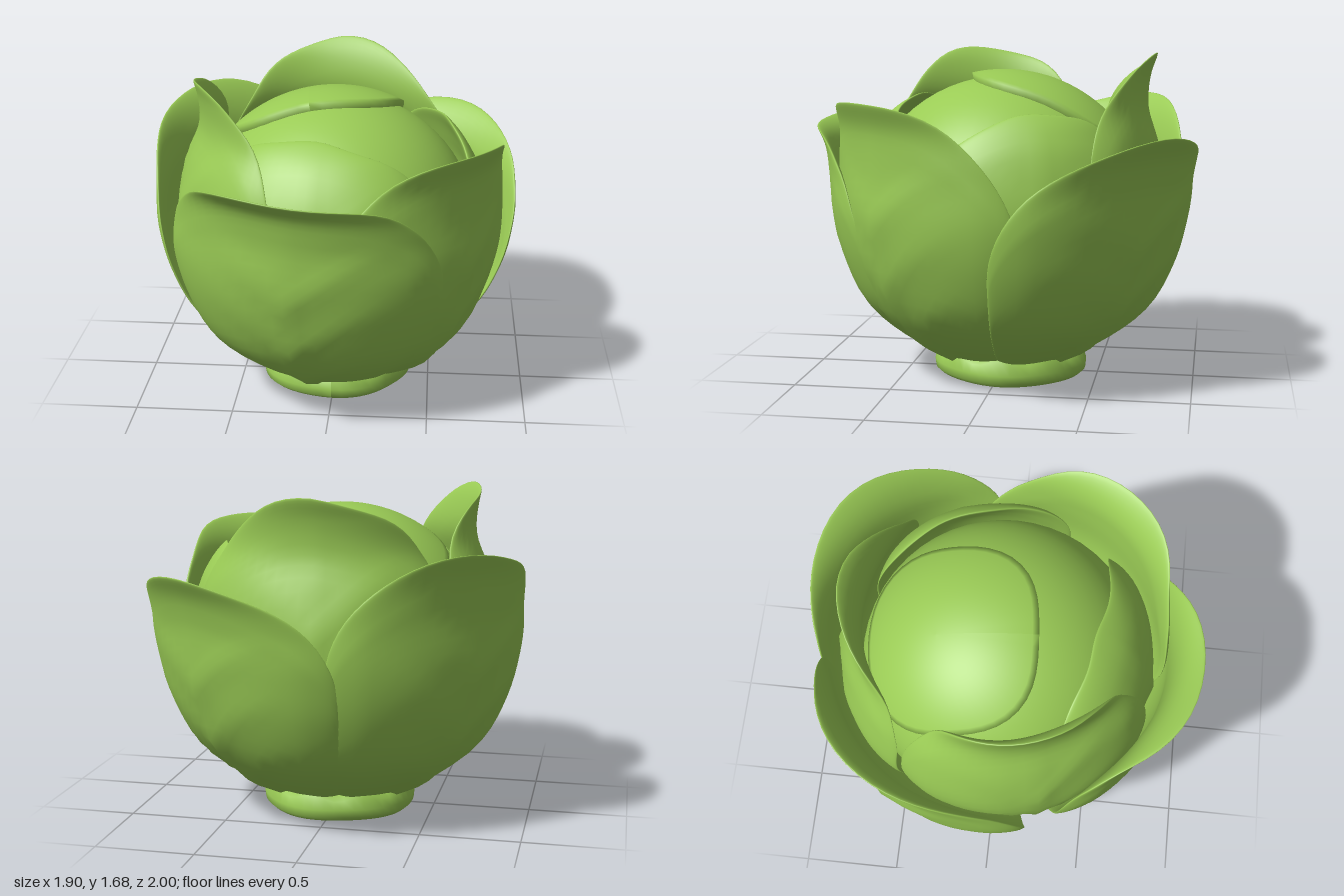
import * as THREE from 'three';
import { mergeVertices } from 'three/addons/utils/BufferGeometryUtils.js';

const rad = THREE.MathUtils.degToRad;
const ridge = (x, w) => Math.exp(-(x * x) / (w * w));

// Lower bowl shared by all leaves as [radius, height]; radius is scaled per leaf
const bowl = [[0.33, 0.12], [0.57, 0.23], [0.81, 0.41], [0.94, 0.64], [1, 0.88]];

// Closed leaf shell wrapped round the head.
// az: direction (0 = front, 90 = +x), half: half width in degrees, k: bowl radius,
// top: upper profile points, low: rim height at the sides, p: roundness,
// tilt: lean of the rim, flare: outward curl of the tip
function leafGeometry({ az, half, k, top, low = 0.55, p = 2, tilt = 0, flare = 0.01 }) {
  const profile = [...bowl.map(([r, y]) => [r * k, y]), ...top];
  const curve = new THREE.CatmullRomCurve3(profile.map(([r, y]) => new THREE.Vector3(r, y, 0)));
  const nu = 36, nv = 28, thick = 0.028, pos = [], idx = [];
  for (const side of [1, -1]) {
    const start = pos.length / 3;
    for (let j = 0; j <= nv; j++) {
      const s = Math.sin((j / nv) * Math.PI / 2);
      for (let i = 0; i <= nu; i++) {
        const u = i === 0 ? -1 : i === nu ? 1 : Math.sin((i / nu - 0.5) * Math.PI);
        const a = Math.abs(u);
        let reach = low + (1 - low) * Math.sqrt(Math.max(0, 1 - a ** p));
        reach *= 1 - Math.abs(tilt) * (1 - Math.sign(tilt) * u) / 2;
        reach *= 1 - 0.006 * (1 + Math.sin(u * 7 + az));
        const t = Math.min(1, s * reach);
        const c = curve.getPointAt(t), d = curve.getTangentAt(t);
        // Thickness fades to a rounded rim; veins rise on the outer face
        const edge = Math.sqrt(Math.min(1, 4 * (1 - a)) * Math.min(1, 8 * (1 - s)));
        let off = side * thick * edge;
        if (side > 0) {
          let vein = ridge(u, 0.06) * (1 - s);
          for (const v of [0.2, 0.42, 0.62]) {
            vein += 0.6 * ridge(s - v - a * 0.42, 0.04) * Math.max(0, 1 - a * 1.5);
          }
          off += 0.022 * vein * edge;
        }
        off += 0.006 * Math.sin(u * 5 + az) * s;
        const r = c.x + d.y * off + flare * s ** 8 * (1 - a * a), y = c.y - d.x * off;
        const phi = rad(az + u * half);
        pos.push(Math.sin(phi) * r, y, Math.cos(phi) * r);
      }
    }
    for (let j = 0; j < nv; j++) {
      for (let i = 0; i < nu; i++) {
        const a = start + j * (nu + 1) + i, b = a + 1, c = a + nu + 1, e = c + 1;
        if (side > 0) idx.push(a, b, e, a, e, c);
        else idx.push(a, e, b, a, c, e);
      }
    }
  }
  let g = new THREE.BufferGeometry();
  g.setAttribute('position', new THREE.Float32BufferAttribute(pos, 3));
  g.setIndex(idx);
  g = mergeVertices(g, 1e-5);
  g.computeVertexNormals();
  return g;
}

const leaves = {
  // Open outer leaves with curled tips
  frontLeaf: { az: -12, half: 54, k: 0.86, low: 0.6, p: 2.3, tilt: -0.05, flare: 0.09,
    top: [[0.855, 1.1], [0.87, 1.26], [0.95, 1.37]] },
  frontLeftLeaf: { az: 52, half: 52, k: 0.83, low: 0.55, p: 1.9, tilt: -0.05, flare: 0.05,
    top: [[0.82, 1.15], [0.82, 1.34], [0.89, 1.52]] },
  backLeftLeaf: { az: 143, half: 49, k: 0.925, low: 0.55, p: 2, tilt: 0.05, flare: 0.06,
    top: [[0.94, 1.08], [0.97, 1.21], [1.04, 1.34]] },
  backRightLeaf: { az: -125, half: 48, k: 0.91, low: 0.58, p: 1.8, tilt: -0.11, flare: 0.05,
    top: [[0.92, 1.15], [0.95, 1.34], [1.03, 1.52]] },
  // Tall inner leaves
  rightInnerLeaf: { az: -72, half: 53, k: 0.795, low: 0.6, p: 2.3,
    top: [[0.74, 1.22], [0.66, 1.44], [0.675, 1.6], [0.71, 1.69]] },
  backInnerLeaf: { az: 182, half: 52, k: 0.81, low: 0.65, p: 1.7,
    top: [[0.77, 1.2], [0.71, 1.42], [0.73, 1.58], [0.78, 1.69]] },
  // Closed leaves hugging the heart
  frontInnerLeaf: { az: -8, half: 53, k: 0.75, low: 0.75, p: 2, tilt: -0.05,
    top: [[0.7, 1.15], [0.58, 1.35], [0.47, 1.45], [0.41, 1.49]] },
  leftInnerLeaf: { az: 113, half: 45, k: 0.76, low: 0.72, p: 2, tilt: 0.05,
    top: [[0.72, 1.15], [0.65, 1.31], [0.59, 1.4], [0.56, 1.45]] },
};

export function createModel() {
  const group = new THREE.Group();
  const leafGreen = new THREE.MeshStandardMaterial({ color: 0x9acb55, side: THREE.DoubleSide });
  leafGreen.name = 'leafGreen';
  const add = (name, geometry) => {
    const mesh = new THREE.Mesh(geometry, leafGreen);
    mesh.name = name;
    group.add(mesh);
    return mesh;
  };

  for (const [name, spec] of Object.entries(leaves)) add(name, leafGeometry(spec));

  // Heart of tightly packed leaves
  add('heart', new THREE.SphereGeometry(0.74, 48, 32)).position.y = 0.82;

  // Leaf folded over the crown: a rounded-square cap with a rolled-in rim
  const arc = rad(39), capPoints = [new THREE.Vector2(Math.sin(arc) * 0.73, Math.cos(arc) * 0.73)];
  for (let i = 0; i <= 16; i++) {
    const a = arc * (1 - i / 16);
    capPoints.push(new THREE.Vector2(Math.sin(a) * 0.77, Math.cos(a) * 0.77));
  }
  const capGeometry = new THREE.LatheGeometry(capPoints, 48);
  const cp = capGeometry.attributes.position, v = new THREE.Vector3();
  for (let i = 0; i < cp.count; i++) {
    v.fromBufferAttribute(cp, i);
    const len = v.length(), stretch = 1 - 0.06 * Math.cos(4 * Math.atan2(v.x, v.z));
    v.x *= stretch;
    v.z *= stretch;
    v.setLength(len);
    cp.setXYZ(i, v.x, v.y, v.z);
  }
  capGeometry.computeVertexNormals();
  const cap = add('crownLeaf', capGeometry);
  cap.position.y = 0.825;
  cap.rotation.set(-0.42, 0, 0.2);

  // Cut stem with an uneven rim
  const stemPoints = [[0, 0.01], [0.3, 0.01], [0.37, 0.008], [0.395, 0.03], [0.4, 0.07],
    [0.385, 0.13], [0.35, 0.165], [0.25, 0.18], [0, 0.18]];
  const stem = new THREE.LatheGeometry(stemPoints.map(([x, y]) => new THREE.Vector2(x, y)), 48);
  const sp = stem.attributes.position;
  for (let i = 0; i < sp.count; i++) {
    const x = sp.getX(i), y = sp.getY(i), z = sp.getZ(i), a = Math.atan2(x, z);
    const w = 1 + 0.015 * Math.sin(a * 5);
    const lift = y > 0.1 ? 0.015 * Math.sin(a * 9) : 0.008 * (1 + Math.sin(a * 2 + 1)) * Math.hypot(x, z);
    sp.setXYZ(i, x * w, y + lift, z * w);
  }
  stem.computeVertexNormals();
  add('stem', stem).position.z = -0.04;

  return group;
}
